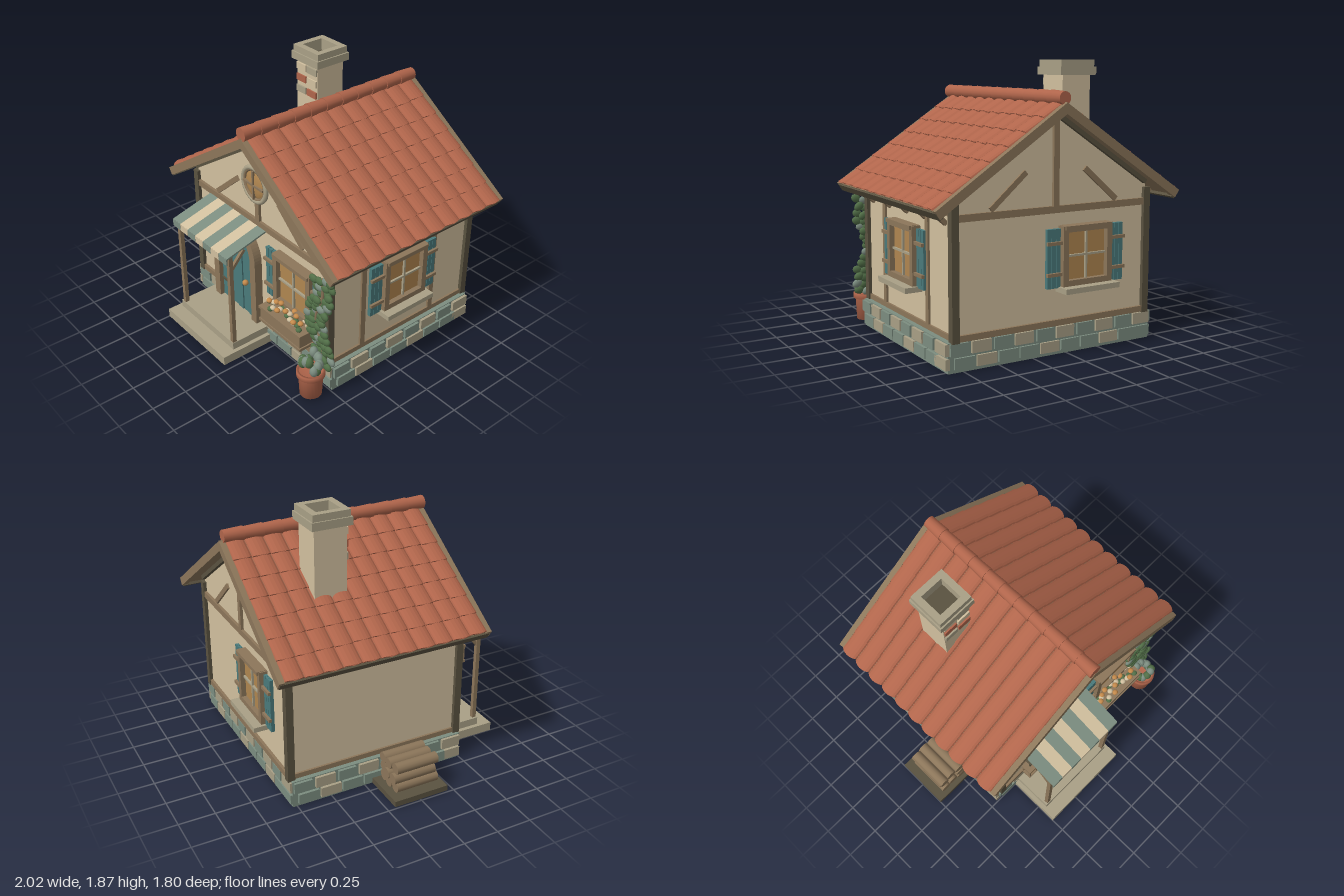
import * as THREE from 'three';
import { mergeGeometries } from 'three/addons/utils/BufferGeometryUtils.js';

const mat = (name, color) => Object.assign(new THREE.MeshStandardMaterial({ color }), { name });
const M = {
  plaster: mat('cream plaster', 0xd2c09f), stone: mat('blue grey stone', 0x7c8d80),
  pale: mat('pale stone', 0xa9a086), wood: mat('timber', 0x8c765a),
  dark: mat('dark timber', 0x5a5240), tile: mat('terracotta', 0xb0654b),
  teal: mat('teal paint', 0x4a7a7b), glass: mat('amber glass', 0xb08650),
  leaf: mat('leaf green', 0x526f48), orange: mat('orange petals', 0xc48a4c),
};
const CX = 0.09, CZ = -0.145, HW = 0.72, HD = 0.63;   // house centre and half sizes
const APEX = 1.6, ANGLE = Math.atan(0.66), SLOPE = 0.89 / Math.cos(ANGLE);

function add(parent, name, m, geo, x = 0, y = 0, z = 0) {
  const mesh = new THREE.Mesh(geo, m);
  mesh.name = name;
  mesh.position.set(x, y, z);
  parent.add(mesh);
  return mesh;
}
const box = (p, name, m, w, h, d, x, y, z) => add(p, name, m, new THREE.BoxGeometry(w, h, d), x, y, z);
const ball = (p, name, m, r, x, y, z, sx = 1, sy = 1, sz = 1) => {
  const b = add(p, name, m, new THREE.SphereGeometry(r, 12, 8), x, y, z);
  b.scale.set(sx, sy, sz);
  return b;
};
const group = (p, name, x = 0, y = 0, z = 0, ry = 0) => {
  const g = new THREE.Group();
  g.name = name;
  g.position.set(x, y, z);
  g.rotation.y = ry;
  p.add(g);
  return g;
};
// Straight bar between two points in an XY plane
function bar(p, name, m, x0, y0, x1, y1, w, d, z) {
  const b = box(p, name, m, Math.hypot(x1 - x0, y1 - y0), w, d, (x0 + x1) / 2, (y0 + y1) / 2, z);
  b.rotation.z = Math.atan2(y1 - y0, x1 - x0);
  return b;
}
const extrude = (shape, depth) => new THREE.ExtrudeGeometry(shape, { depth, bevelEnabled: false, curveSegments: 16 });
let seed = 7;
const rnd = () => (seed = (seed * 16807) % 2147483647) / 2147483647;

// Window with frame, panes and shutters, facing +z
function makeWindow(p, name, x, y, z, ry, sill) {
  const g = group(p, name, x, y, z, ry);
  box(g, 'glass', M.glass, 0.3, 0.32, 0.02, 0, 0, 0.015);
  for (const s of [-1, 1]) {
    box(g, 'frameSide', M.wood, 0.04, 0.38, 0.06, s * 0.17, 0, 0.03);
    box(g, 'frameRail', M.wood, 0.38, 0.04, 0.06, 0, s * 0.175, 0.03);
    const sh = group(g, 'shutter', s * 0.245, -0.01, 0.02);
    for (let i = -1; i <= 1; i++) box(sh, 'shutterSlat', M.teal, 0.031, 0.38, 0.025, i * 0.034, 0, 0);
    for (const b of [-0.1, 0.1]) box(sh, 'shutterBatten', M.wood, 0.115, 0.022, 0.02, 0, b, 0.02);
  }
  box(g, 'mullion', M.pale, 0.014, 0.31, 0.02, 0, 0, 0.03);
  box(g, 'transom', M.pale, 0.3, 0.014, 0.02, 0, 0, 0.03);
  box(g, 'frameCap', M.wood, 0.36, 0.025, 0.075, 0, 0.185, 0.035);
  if (sill) box(g, 'sill', M.pale, 0.42, 0.035, 0.12, 0, -0.21, 0.06);
  return g;
}

// One half of the roof; local +x runs down the slope
function makeRoofSide(p, ry) {
  const g = group(group(p, 'roofSide', CX, APEX, CZ, ry), 'roofPitch');
  g.rotation.z = -ANGLE;
  box(g, 'roofDeck', M.wood, SLOPE, 0.035, 1.44, SLOPE / 2, -0.018, 0);
  box(g, 'eaveFascia', M.dark, 0.025, 0.05, 1.5, SLOPE, -0.03, 0);
  for (const s of [-1, 1]) {
    box(g, 'bargeBoard', M.wood, SLOPE + 0.02, 0.058, 0.04, SLOPE / 2, -0.018, s * 0.74);
    box(g, 'gableRafter', M.dark, 0.88, 0.03, 0.03, 0.44, -0.05, s * 0.645);
  }
  // Curved tiles overlapping down the slope
  const half = 0.065, shape = new THREE.Shape();
  const arc = (h, n, flip) => Array.from({ length: n + 1 }, (_, i) => {
    const a = (flip ? i / n : 1 - i / n) * Math.PI;
    return new THREE.Vector2(Math.cos(a) * half * (flip ? 0.92 : 1), Math.sin(a) * h);
  });
  shape.setFromPoints([...arc(0.028, 8, false), ...arc(0.014, 8, true)]);
  const tile = extrude(shape, 0.165).rotateY(Math.PI / 2);
  const pos = tile.attributes.position;
  for (let i = 0; i < pos.count; i++) {
    if (pos.getX(i) > 0.1) pos.setX(i, pos.getX(i) + 0.014 * (1 - (pos.getZ(i) / half) ** 2));
  }
  tile.computeVertexNormals();
  tile.rotateZ(0.07);
  const tiles = [];
  for (let r = 0; r < 7; r++) for (let c = 0; c < 11; c++)
    tiles.push(tile.clone().translate(r * 0.151 + (rnd() - 0.5) * 0.006, 0, (c - 5) * 0.1315));
  add(g, 'roofTiles', M.tile, mergeGeometries(tiles));
}

// Row of foundation stones along one wall, facing +z
function makeStones(p, x, z, ry, length) {
  const g = group(p, 'foundationStones', x, 0, z, ry);
  const n = Math.round(length / 0.155), w = length / n;
  for (let i = 0; i < n; i++) {
    const at = -length / 2 + (i + 0.5) * w;
    box(g, 'upperStone', i % 2 ? M.pale : M.stone, w * (i % 2 ? 0.88 : 0.8), 0.075, 0.03, at, 0.147, 0);
    box(g, 'lowerStone', i % 3 === 1 ? M.pale : M.stone, w * 0.92, 0.07, 0.03, at + (i < n - 1 ? w * 0.25 : 0), 0.058, 0);
  }
}

// Gable framing, facing +z
function makeGable(p, z, ry) {
  const g = group(p, 'gableFrame', CX, 0, z, ry);
  box(g, 'tieBeam', M.wood, 1.46, 0.045, 0.04, 0, 0.942, 0);
  box(g, 'sillBeam', M.wood, 1.46, 0.04, 0.04, 0, 0.21, 0);
  box(g, 'kingPost', M.wood, 0.042, 0.58, 0.04, 0, 1.25, 0);
  for (const s of [-1, 1]) bar(g, 'brace', M.wood, s * 0.47, 0.975, s * 0.22, 1.19, 0.036, 0.03, 0);
}

function archShape(r, base, spring) {
  const s = new THREE.Shape();
  s.moveTo(r, base);
  s.lineTo(r, spring);
  s.absarc(0, spring, r, 0, Math.PI, false);
  s.lineTo(-r, base);
  return s;
}

export function createModel() {
  const root = new THREE.Group();
  root.name = 'cottage';
  const front = CZ + HD, back = CZ - HD, right = CX + HW, left = CX - HW;

  // Foundation and walls
  box(root, 'foundation', M.stone, 1.53, 0.19, 1.27, CX, 0.095, CZ);
  makeStones(root, CX, front + 0.005, 0, 1.54);
  makeStones(root, CX, back - 0.005, Math.PI, 1.54);
  makeStones(root, right + 0.05, CZ, Math.PI / 2, 1.29);
  makeStones(root, left - 0.05, CZ, -Math.PI / 2, 1.29);
  const wall = new THREE.Shape([[-HW, 0.18], [HW, 0.18], [HW, 1.07], [0, 1.55], [-HW, 1.07]].map(a => new THREE.Vector2(...a)));
  add(root, 'walls', M.plaster, extrude(wall, HD * 2), CX, 0, back);

  // Timber frame
  makeGable(root, front, 0);
  makeGable(root, back, Math.PI);
  for (const s of [-1, 1]) {
    for (const z of [front, back]) box(root, 'cornerPost', M.dark, 0.05, 0.85, 0.05, CX + s * HW, 0.61, z);
    box(root, 'sideSillBeam', M.wood, 0.03, 0.035, 1.24, CX + s * HW, 0.21, CZ);
    box(root, 'sideTopBeam', M.wood, 0.03, 0.045, 1.24, CX + s * HW, 0.975, CZ);
    for (let i = -2; i <= 2; i++)
      bar(root, 'eaveBracket', M.wood, CX + s * 0.72, 0.9, CX + s * 0.85, 1.02, 0.03, 0.035, CZ + i * 0.266);
  }
  for (const z of [0.2, -0.44]) box(root, 'sideStud', M.wood, 0.03, 0.75, 0.04, right, 0.6, z);

  // Roof and ridge
  makeRoofSide(root, 0);
  makeRoofSide(root, Math.PI);
  for (let i = 0; i < 11; i++) {
    const cap = new THREE.CylinderGeometry(0.048, 0.042, 0.142, 16).rotateX(Math.PI / 2);
    add(root, 'ridgeTile', M.tile, cap, CX, APEX + 0.04, 0.54 - i * 0.135);
  }

  // Chimney
  const ch = group(root, 'chimney', -0.285, 0, -0.35);
  box(ch, 'chimneyStack', M.plaster, 0.22, 0.53, 0.23, 0, 1.515, 0);
  const capRing = (name, half, y, h) => {
    const s = new THREE.Shape([[-1, -1], [1, -1], [1, 1], [-1, 1]].map(a => new THREE.Vector2(a[0] * half, a[1] * half)));
    s.holes.push(new THREE.Path([[-1, -1], [-1, 1], [1, 1], [1, -1]].map(a => new THREE.Vector2(a[0] * 0.085, a[1] * 0.085))));
    add(ch, name, M.pale, extrude(s, h).rotateX(-Math.PI / 2), 0, y, 0);
  };
  capRing('chimneyCollar', 0.142, 1.77, 0.055);
  capRing('chimneyCap', 0.132, 1.825, 0.047);
  box(ch, 'flue', M.dark, 0.18, 0.008, 0.18, 0, 1.783, 0);
  [[M.plaster, M.pale], [M.tile, M.plaster], [M.pale, M.tile]].forEach((row, r) => row.forEach((m, c) =>
    box(ch, 'brick', m, 0.1, 0.048, 0.02, c * 0.112 - 0.055, 1.725 - r * 0.085, 0.118)));

  // Windows
  const fw = makeWindow(root, 'frontWindow', 0.49, 0.64, front, 0, false);
  makeWindow(root, 'sideWindow', right, 0.64, -0.14, Math.PI / 2, true);
  makeWindow(root, 'backWindow', -0.13, 0.64, back, Math.PI, true);
  const rw = group(root, 'roundWindow', CX, 1.245, front + 0.02);
  add(rw, 'roundFrame', M.pale, new THREE.TorusGeometry(0.122, 0.017, 8, 32), 0, 0, 0.01);
  add(rw, 'roundInnerFrame', M.wood, new THREE.TorusGeometry(0.108, 0.012, 8, 32), 0, 0, 0.01);
  ball(rw, 'roundGlass', M.glass, 0.108, 0, 0, 0, 1, 1, 0.2);
  box(rw, 'roundMullion', M.wood, 0.014, 0.21, 0.02, 0, 0, 0.02);
  box(rw, 'roundTransom', M.wood, 0.21, 0.014, 0.02, 0, 0, 0.02);

  // Flower box
  const fb = group(fw, 'flowerBox', -0.005, -0.27, 0.09);
  box(fb, 'planter', M.wood, 0.42, 0.1, 0.12, 0, 0, 0);
  for (const y of [-0.05, 0.05]) box(fb, 'planterRim', M.wood, 0.44, 0.02, 0.135, 0, y, 0);
  for (let i = 0; i < 30; i++) {
    const m = [M.leaf, M.plaster, M.orange][i % 3];
    ball(fb, 'blossom', m, 0.02, -0.2 + (i / 29) * 0.4, 0.07 + (i % 3) * 0.014 + rnd() * 0.012, (rnd() - 0.5) * 0.09, 1.1, 0.8, 1);
  }

  // Arched door
  const door = group(root, 'door', -0.15, 0, front);
  const frame = archShape(0.25, 0.12, 0.62);
  frame.holes.push(archShape(0.19, 0.12, 0.62));
  add(door, 'doorFrame', M.wood, extrude(frame, 0.06));
  add(door, 'doorBacking', M.dark, extrude(archShape(0.19, 0.12, 0.62), 0.015));
  for (let i = 0; i < 6; i++) {
    const x0 = -0.188 + i * 0.063, pts = [new THREE.Vector2(x0, 0.125), new THREE.Vector2(x0 + 0.058, 0.125)];
    for (let k = 4; k >= 0; k--) {
      const x = x0 + 0.058 * k / 4;
      pts.push(new THREE.Vector2(x, 0.62 + Math.sqrt(Math.max(0, 0.19 ** 2 - x * x))));
    }
    add(door, 'doorPlank', M.teal, extrude(new THREE.Shape(pts), i % 2 ? 0.034 : 0.028));
  }
  for (const y of [0.28, 0.57]) box(door, 'hinge', M.dark, 0.12, 0.016, 0.012, -0.125, y, 0.04);
  ball(door, 'doorKnob', M.orange, 0.022, 0.125, 0.405, 0.055);

  // Steps, porch posts and striped awning
  box(root, 'lowerStep', M.pale, 0.7, 0.065, 0.42, -0.15, 0.033, 0.69);
  box(root, 'upperStep', M.pale, 0.64, 0.055, 0.32, -0.15, 0.093, 0.64);
  for (const x of [-0.44, 0.15]) {
    box(root, 'porchPost', M.wood, 0.03, 0.71, 0.03, x, 0.475, 0.78);
    const brace = box(root, 'porchBrace', M.wood, 0.022, 0.16, 0.022, x, 0.775, 0.72);
    brace.rotation.x = -0.72;
  }
  box(root, 'porchBeam', M.wood, 0.62, 0.025, 0.025, -0.145, 0.82, 0.78);
  for (let i = 0; i < 7; i++) {
    const m = i % 2 ? M.plaster : M.stone, x = -0.14 + (i - 3) * 0.0915;
    const s = box(root, 'awningStripe', m, 0.0915, 0.012, 0.345, x, 0.878, 0.655);
    s.rotation.x = Math.atan2(0.09, 0.33);
    box(root, 'awningValance', m, 0.088, 0.05, 0.01, x, 0.812, 0.82);
  }

  // Hanging lantern
  const lan = group(root, 'lantern', -0.455, 0.7, 0.6);
  box(lan, 'lanternGlass', M.glass, 0.055, 0.1, 0.055, 0, 0, 0);
  for (const y of [-0.058, 0.058]) box(lan, 'lanternPlate', M.wood, 0.085, 0.018, 0.08, 0, y, 0);
  for (const x of [-1, 1]) for (const z of [-1, 1]) box(lan, 'lanternBar', M.wood, 0.012, 0.11, 0.012, x * 0.032, 0, z * 0.03);
  box(lan, 'lanternHook', M.dark, 0.012, 0.06, 0.012, 0, 0.095, 0);
  box(lan, 'lanternArm', M.dark, 0.014, 0.014, 0.13, 0, 0.125, -0.055);

  // Potted climber
  const pot = group(root, 'pottedClimber', 0.785, 0, 0.615);
  const profile = [[0, 0.012], [0.075, 0.012], [0.083, 0.165], [0.097, 0.168], [0.097, 0.205], [0.08, 0.205], [0.078, 0.185], [0, 0.185]];
  add(pot, 'pot', M.tile, new THREE.LatheGeometry(profile.map(a => new THREE.Vector2(...a)), 24));
  for (let i = 0; i < 14; i++) {
    const a = i * 2.4;
    ball(pot, 'potLeaf', i % 3 ? M.stone : M.leaf, 0.034, Math.cos(a) * 0.06, 0.235 + (i % 4) * 0.024, Math.sin(a) * 0.055, 0.9, 1.2, 0.9);
  }
  const vine = new THREE.CatmullRomCurve3([[0.79, 0.2], [0.81, 0.36], [0.74, 0.5], [0.75, 0.62], [0.8, 0.74], [0.8, 0.91]]
    .map(a => new THREE.Vector3(a[0], a[1], front + 0.05)));
  add(root, 'vineStem', M.wood, new THREE.TubeGeometry(vine, 24, 0.01, 6));
  for (let i = 0; i < 64; i++) {
    const p = vine.getPoint((i + 0.5) / 64);
    const l = ball(root, 'vineLeaf', i % 5 === 2 ? M.stone : M.leaf, 0.036,
      p.x + ((i % 4) - 1.5) * 0.05 + (rnd() - 0.5) * 0.02, p.y, p.z + (rnd() - 0.5) * 0.03, 1.05, 0.8, 0.5);
    l.rotation.z = (rnd() - 0.5) * 1.2;
  }

  // Log pile
  box(root, 'logPallet', M.dark, 0.34, 0.04, 0.4, -0.83, 0.033, 0);
  for (let r = 0; r < 3; r++) for (let c = 0; c < 3; c++) {
    const log = new THREE.CylinderGeometry(0.039, 0.039, 0.31, 14).rotateX(Math.PI / 2);
    add(root, 'log', M.wood, log, -0.9 + c * 0.078, 0.091 + r * 0.07, (rnd() - 0.5) * 0.04);
  }
  return root;
}
